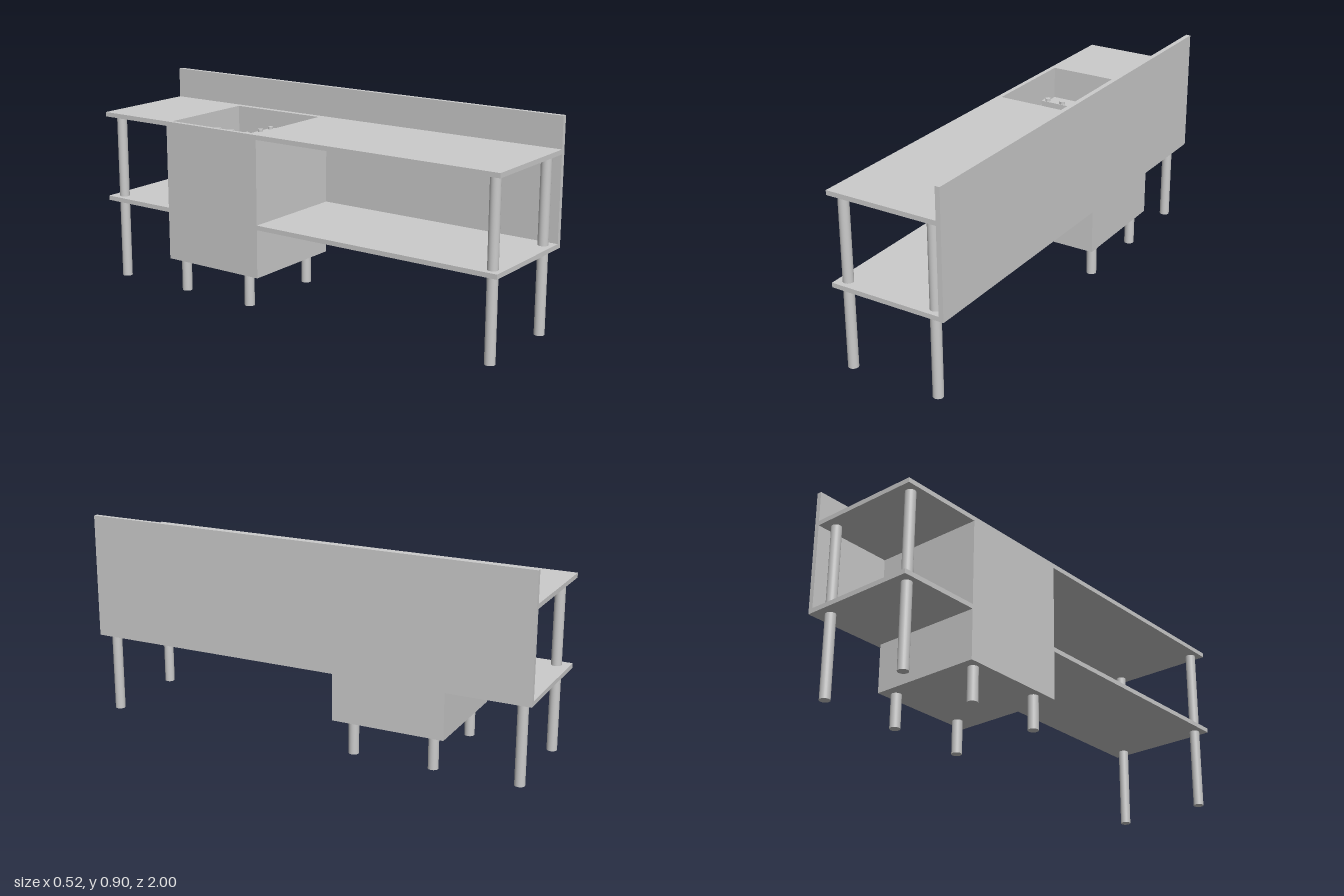
import * as THREE from 'three';

export function createModel() {
  const root = new THREE.Group();
  const mat = new THREE.MeshStandardMaterial({ color: 0xcccccc });

  const add = (name, geometry, x = 0, y = 0, z = 0) => {
    const mesh = new THREE.Mesh(geometry, mat);
    mesh.name = name;
    mesh.position.set(x, y, z);
    root.add(mesh);
    return mesh;
  };
  // Box from its lower and upper limits on each axis
  const box = (name, x0, x1, y0, y1, z0, z1) =>
    add(name, new THREE.BoxGeometry(x1 - x0, y1 - y0, z1 - z0),
      (x0 + x1) / 2, (y0 + y1) / 2, (z0 + z1) / 2);
  const rod = (name, r, x, y0, y1, z, sides = 24) =>
    add(name, new THREE.CylinderGeometry(r, r, y1 - y0, sides), x, (y0 + y1) / 2, z);

  const X0 = -0.258, X1 = 0.237;         // depth of the counter
  const Z0 = -0.635, Z1 = -0.14;         // cabinet along the counter
  const TOP = 0.763, FLOOR = 0.62;       // counter top and basin floor

  // Worktop and lower shelf, on both sides of the cabinet
  for (const [z0, z1] of [[-1, Z0], [Z1, 1]]) {
    box('worktop', X0, X1, 0.743, TOP, z0, z1);
    box('lowerShelf', X0, X1, 0.357, 0.377, z0, z1);
  }

  // Tall panel along the rear edge
  box('backPanel', X1, 0.258, 0.357, 0.897, -1, 1);

  // Legs of the counter and of the cabinet
  for (const x of [-0.213, 0.193]) {
    for (const z of [-0.945, 0.957]) rod('counterLeg', 0.022, x, 0, 0.743, z);
    for (const z of [-0.577, -0.22]) rod('cabinetLeg', 0.022, x, 0, 0.145, z);
  }

  // Cabinet body with an open basin in its top
  box('cabinetBody', X0, X1, 0.145, FLOOR, Z0, Z1);
  const rect = (path, x0, x1, z0, z1) => {
    path.moveTo(x0, -z0);
    path.lineTo(x0, -z1);
    path.lineTo(x1, -z1);
    path.lineTo(x1, -z0);
    path.closePath();
    return path;
  };
  const rim = rect(new THREE.Shape(), X0, X1, Z0, Z1);
  rim.holes.push(rect(new THREE.Path(), -0.238, 0.21, -0.615, -0.163));
  const rimGeometry = new THREE.ExtrudeGeometry(rim, { depth: TOP - FLOOR, bevelEnabled: false });
  rimGeometry.rotateX(-Math.PI / 2);
  add('basinWalls', rimGeometry, 0, FLOOR, 0);

  // Grate of thin bars on the basin floor
  const bars = 26;
  for (let i = 0; i < bars; i++) {
    const x = -0.208 + (i / (bars - 1)) * 0.39;
    box('grateBar', x - 0.003, x + 0.003, 0.626, 0.632, -0.395, -0.19);
  }
  for (const z of [-0.392, -0.29, -0.193])
    box('grateRail', -0.211, 0.185, FLOOR, 0.626, z - 0.003, z + 0.003);

  // Ring lying on the grate
  const ring = new THREE.TorusGeometry(0.042, 0.003, 8, 40);
  ring.rotateX(Math.PI / 2);
  add('grateRing', ring, -0.155, 0.633, -0.335);

  // Cross-shaped burner with a row of studs on each arm
  const cx = 0.015, cz = -0.408;
  box('burnerCrossArm', -0.175, 0.205, 0.655, 0.685, cz - 0.014, cz + 0.014);
  box('burnerLongArm', cx - 0.014, cx + 0.014, 0.6555, 0.6855, -0.6, -0.215);
  rod('burnerFeed', 0.01, cx, FLOOR, 0.656, cz, 16);
  for (const x of [-0.15, -0.075, cx, 0.108, 0.18]) rod('burnerStud', 0.012, x, 0.68, 0.697, cz, 16);
  for (const z of [-0.575, -0.5, -0.315, -0.243]) rod('burnerStud', 0.012, cx, 0.68, 0.697, z, 16);

  return root;
}
